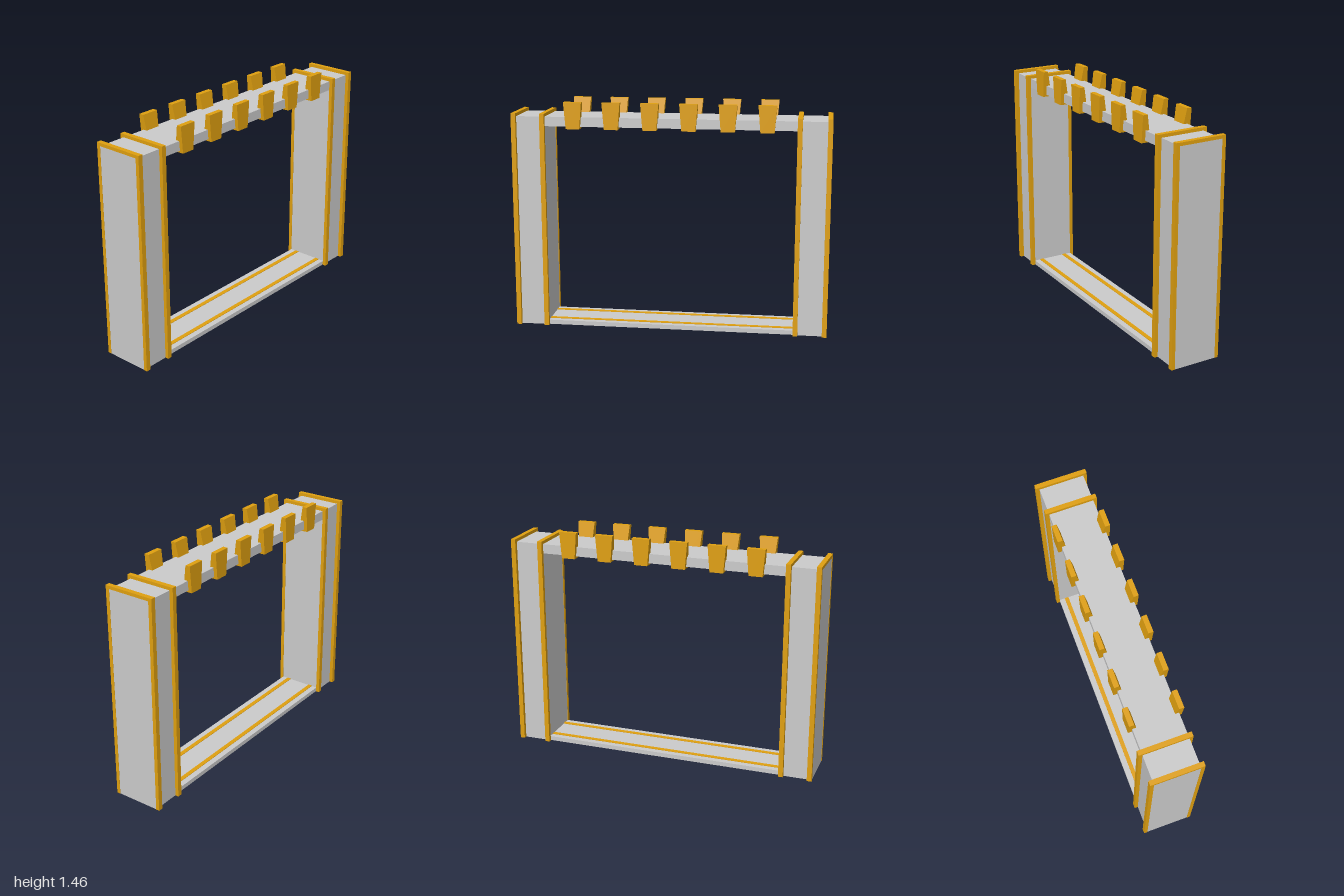
import * as THREE from 'three';

const grey = new THREE.MeshStandardMaterial({ color: 0xcccccc, flatShading: true });
const shell = new THREE.MeshStandardMaterial({ color: 0xcccccc, flatShading: true, side: THREE.DoubleSide });
const gold = new THREE.MeshStandardMaterial({ color: 0xe0a010, flatShading: true });

const DEPTH = 0.142;  // half depth of the grey walls
const RIM = 0.165;    // half depth of the raised trim
const WALL_TOP = 1.36, TRIM_TOP = 1.38;
const INNER = 0.79;   // inner face of the pillars

// Box given by its minimum and maximum corners
function box(name, material, [x0, y0, z0], [x1, y1, z1]) {
  const geometry = new THREE.BoxGeometry(x1 - x0, y1 - y0, z1 - z0);
  geometry.translate((x0 + x1) / 2, (y0 + y1) / 2, (z0 + z1) / 2);
  const mesh = new THREE.Mesh(geometry, material);
  mesh.name = name;
  return mesh;
}

// Trim band running up the front, over the top and down the back
function trimBand(x0, x1) {
  const band = new THREE.Group();
  band.name = 'trimBand';
  band.add(
    box('frontStrip', gold, [x0, 0, DEPTH], [x1, TRIM_TOP, RIM]),
    box('backStrip', gold, [x0, 0, -RIM], [x1, TRIM_TOP, -DEPTH]),
    box('topStrip', gold, [x0, WALL_TOP, -DEPTH], [x1, TRIM_TOP, DEPTH])
  );
  return band;
}

// Hollow pillar, open underneath, with two trim bands
function pillar(side) {
  const group = new THREE.Group();
  group.name = side > 0 ? 'leftPillar' : 'rightPillar';
  const span = (a, b) => (side > 0 ? [a, b] : [-b, -a]);
  const [x0, x1] = span(INNER, 0.998);
  const walls = box('pillarWalls', shell, [x0, 0, -DEPTH], [x1, WALL_TOP, DEPTH]);
  const index = Array.from(walls.geometry.index.array);
  index.splice(18, 6); // drop the bottom face
  walls.geometry.setIndex(index);
  walls.geometry.clearGroups();
  group.add(walls, trimBand(...span(0.787, 0.817)), trimBand(...span(0.97, 1)));
  return group;
}

// Battlement: narrower and thicker at the bottom, upright on its outer face
function merlonGeometry() {
  const geometry = new THREE.BoxGeometry(1, 1, 1);
  const p = geometry.attributes.position;
  for (let i = 0; i < p.count; i++) {
    const top = p.getY(i) > 0, outer = p.getZ(i) > 0;
    p.setXYZ(i,
      Math.sign(p.getX(i)) * (top ? 0.057 : 0.043),
      top ? 1.455 : 1.287,
      outer ? RIM : top ? 0.134 : 0.105);
  }
  geometry.computeVertexNormals();
  return geometry;
}

export function createModel() {
  const model = new THREE.Group();
  model.name = 'gateway';
  model.add(pillar(1), pillar(-1));

  // Beam and threshold between the pillars
  model.add(box('topBeam', grey, [-INNER, 1.3, -DEPTH], [INNER, WALL_TOP, DEPTH]));
  model.add(box('threshold', grey, [-INNER, 0.002, -DEPTH], [INNER, 0.03, DEPTH]));

  // Door tracks let into the threshold
  for (const z of [-0.09, 0.09]) {
    model.add(box('track', gold, [-INNER, 0, z - 0.014], [INNER, 0.033, z + 0.014]));
  }

  // Battlements along both edges of the beam
  const geometry = merlonGeometry();
  for (let i = 0; i < 6; i++) {
    for (const turn of [0, Math.PI]) {
      const merlon = new THREE.Mesh(geometry, gold);
      merlon.name = turn ? 'backMerlon' : 'frontMerlon';
      merlon.position.x = (i - 2.5) * 0.242;
      merlon.rotation.y = turn;
      model.add(merlon);
    }
  }
  return model;
}
